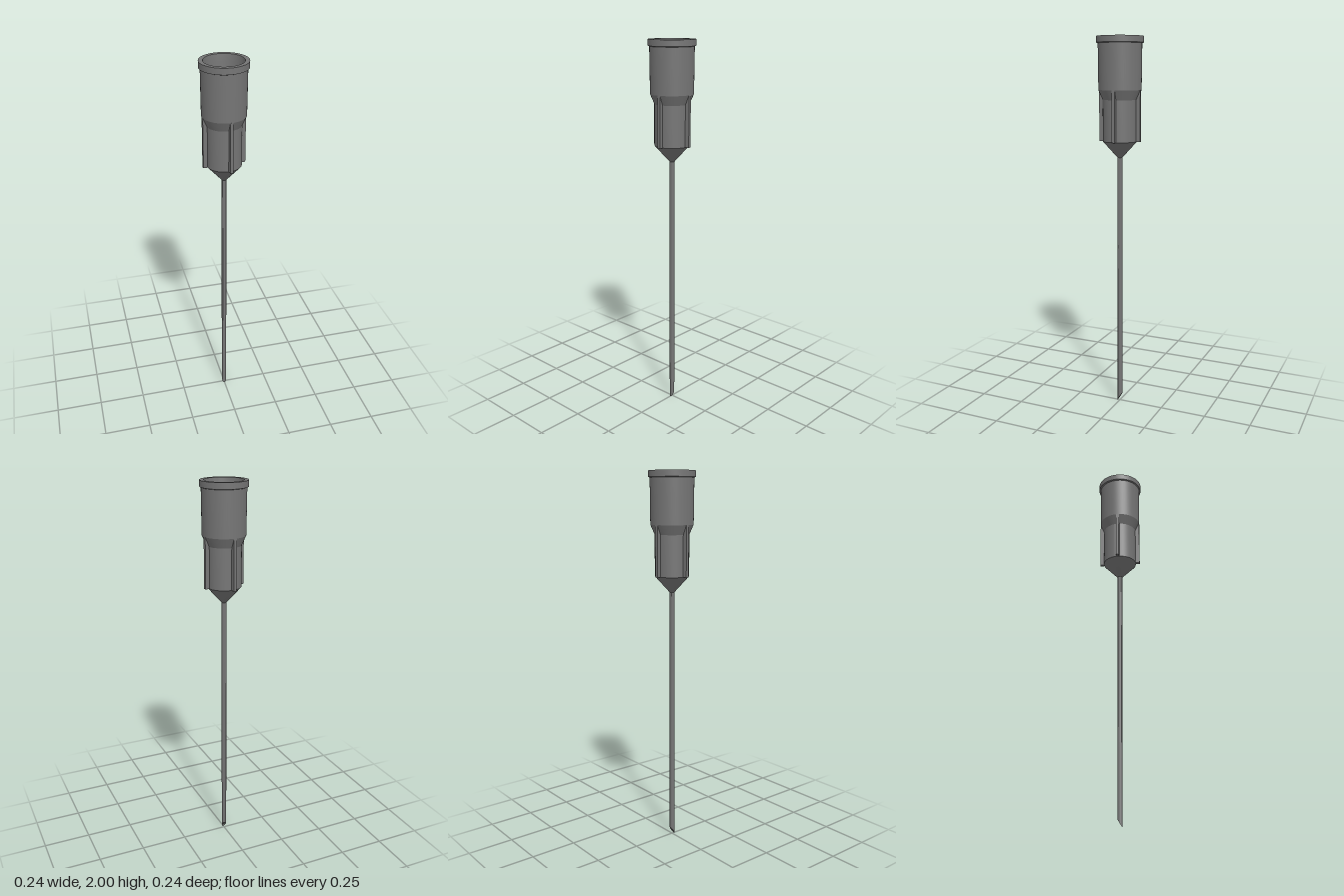
import * as THREE from 'three';
import { toCreasedNormals } from 'three/addons/utils/BufferGeometryUtils.js';

export function createModel() {
  const model = new THREE.Group();
  model.name = 'dispensingNeedle';

  const grey = new THREE.MeshStandardMaterial({ color: 0x757575 });
  grey.name = 'grey';

  const add = (name, geometry, parent = model) => {
    const mesh = new THREE.Mesh(geometry, grey);
    mesh.name = name;
    parent.add(mesh);
    return mesh;
  };
  const lathe = (profile, sides) =>
    new THREE.LatheGeometry(profile.map(([r, y]) => new THREE.Vector2(r, y)), sides);

  // Hollow hub: outside going up, then inside going down
  add('hub', toCreasedNormals(lathe([
    [0.007, 1.38], [0.013, 1.38], [0.09, 1.465], [0.09, 1.68], [0.112, 1.73],
    [0.114, 1.965], [0.122, 1.968], [0.122, 2], [0.1, 2], [0.097, 1.965],
    [0.092, 1.73], [0.073, 1.68], [0.073, 1.465], [0.007, 1.4], [0.007, 1.38],
  ], 64), 0.3));

  // Four grip fins that pass through the hub wall
  const fins = new THREE.Group();
  fins.name = 'fins';
  model.add(fins);
  for (let i = 0; i < 4; i++) {
    const geometry = new THREE.BoxGeometry(0.016, 0.265, 0.039);
    geometry.translate(0, 1.5975, 0.0925);
    add('fin', geometry, fins).rotation.y = 0.1 + i * Math.PI / 2;
  }

  // Hollow needle tube with its lower end sheared into a bevel
  const R = 0.013;
  const tube = lathe([[0.0065, 0], [R, 0], [R, 1.39], [0.0065, 1.39], [0.0065, 0]], 32);
  const p = tube.attributes.position;
  for (let i = 0; i < p.count; i++) {
    if (p.getY(i) < 0.5) p.setY(i, 0.021 * (1 - p.getZ(i) / R));
  }
  add('needle', toCreasedNormals(tube, 0.6));

  return model;
}
